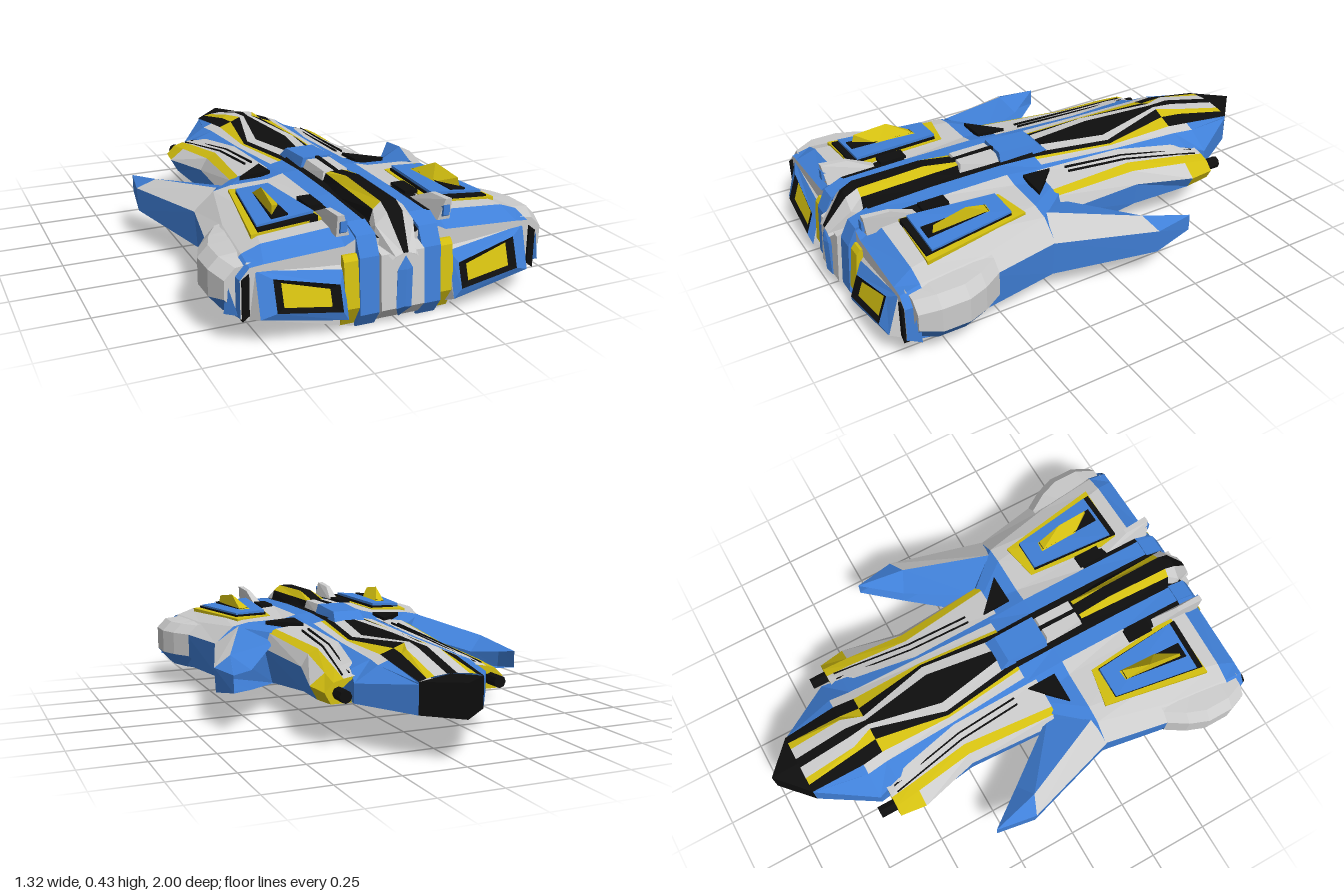
import * as THREE from 'three';
import { ConvexGeometry } from 'three/addons/geometries/ConvexGeometry.js';

// palette letters: g grey, b blue, y yellow, k black
const palette = { g: 0xcccccc, b: 0x4080d8, y: 0xd2be10, k: 0x0e0e0e };
const mats = {};
for (const k in palette) {
  mats[k] = new THREE.MeshStandardMaterial({ color: palette[k], flatShading: true, side: THREE.DoubleSide });
}

function addMesh(parent, name, geometry, color) {
  const mesh = new THREE.Mesh(geometry, mats[color]);
  mesh.name = name;
  parent.add(mesh);
  return mesh;
}

// Skin between cross-sections [z, [x, y, z?]...]; rows give one colour letter per strip
function loft(parent, name, stations, rows, cap = {}) {
  const secs = stations.map(([z, ...pts]) => pts.map(p => [p[0], p[1], p[2] ?? z]));
  const colors = [...rows];
  const collapse = s => {
    const c = [0, 1, 2].map(k => s.reduce((sum, p) => sum + p[k], 0) / s.length);
    return s.map(() => c);
  };
  const n = secs[0].length - 1;
  if (cap.start) { secs.unshift(collapse(secs[0])); colors.unshift(cap.start.repeat(n)); }
  if (cap.end) { secs.push(collapse(secs.at(-1))); colors.push(cap.end.repeat(n)); }
  const tris = {};
  for (let i = 0; i < secs.length - 1; i++) {
    for (let j = 0; j < n; j++) {
      const a = secs[i][j], b = secs[i][j + 1], c = secs[i + 1][j + 1], d = secs[i + 1][j];
      (tris[colors[i][j]] ??= []).push(...a, ...d, ...b, ...d, ...c, ...b);
    }
  }
  const group = new THREE.Group();
  group.name = name;
  for (const k in tris) {
    const geo = new THREE.BufferGeometry();
    geo.setAttribute('position', new THREE.Float32BufferAttribute(tris[k], 3));
    geo.computeVertexNormals();
    addMesh(group, name + 'Strips', geo, k);
  }
  parent.add(group);
}

const convex = (parent, name, color, pts) =>
  addMesh(parent, name, new ConvexGeometry(pts.map(p => new THREE.Vector3(...p))), color);

// Convex plate from top corners [x, y, z], with thickness below
const plate = (parent, name, color, top, depth = 0.03) =>
  convex(parent, name, color, top.flatMap(([x, y, z]) => [[x, y, z], [x, y - depth, z]]));

// Block with the same [y, z] profile at both x limits
const sideProfile = (parent, name, color, x0, x1, profile) =>
  convex(parent, name, color, profile.flatMap(([y, z]) => [[x0, y, z], [x1, y, z]]));

function buildHalf() {
  const h = new THREE.Group();

  // forward fuselage, centre line outwards and round to the keel
  loft(h, 'foreHull', [
    [-0.88, [0, .31], [.02, .31], [.07, .305], [.1, .3], [.13, .29], [.13, .285], [.13, .28], [.13, .17], [.1, .17], [.05, .17], [0, .17]],
    [-0.65, [0, .365], [.02, .365], [.065, .36], [.085, .345], [.14, .325], [.18, .31], [.275, .25], [.275, .175], [.16, .17], [.09, .17], [0, .17]],
    [-0.56, [0, .37], [.01, .37], [.03, .368], [.075, .35], [.13, .33], [.17, .315], [.25, .285], [.26, .17], [.17, .17], [.1, .17], [0, .17]],
    [-0.25, [0, .35], [.07, .35], [.11, .345], [.125, .335], [.135, .332], [.16, .327], [.2, .315], [.27, .14], [.17, .135], [.1, .135], [0, .135]],
    [0.12, [0, .37], [.01, .37], [.06, .365], [.085, .36], [.1, .355], [.14, .35], [.18, .34], [.3, .1], [.17, .1], [.09, .1], [0, .1]],
  ], ['kgykbbbgbg', 'kgykgbbgbg', 'kgkygbbgbg', 'kgkygbbgbg']);

  // rear hull with broad shoulders
  loft(h, 'rearHull', [
    [0.1, [0, .37], [.07, .37], [.09, .36], [.16, .345], [.2, .335], [.25, .325], [.3, .315], [.32, .27], [.32, .1], [.17, .1], [.09, .1], [0, .1]],
    [0.27, [0, .37], [.075, .37], [.09, .37], [.16, .365], [.22, .35], [.38, .345], [.45, .33], [.53, .26], [.52, .11], [.17, .095], [.09, .095], [0, .095]],
    [0.57, [0, .37], [.075, .37], [.09, .37], [.16, .365], [.22, .36], [.42, .35], [.52, .31], [.585, .26], [.57, .11], [.17, .085], [.09, .085], [0, .09]],
    [0.84, [0, .36], [.075, .36], [.09, .36], [.16, .36], [.2, .355], [.48, .335], [.55, .31], [.6, .26], [.6, .105], [.17, .012], [.09, .012], [0, .03]],
    [0.92, [0, .32], [.075, .32], [.09, .33], [.16, .33], [.2, .31], [.5, .295], [.55, .29], [.585, .25], [.585, .11], [.17, .002], [.09, .002], [0, .03]],
  ], ['kkbbbbbbbbb', 'kkbggggbgbg', 'kkbkgggbgbg', 'kkbbbbbbgbg'], { end: 'g' });

  // gun pod along the flank
  loft(h, 'sidePod', [
    [-0.61, [.25, .27], [.3, .262], [.34, .25], [.375, .215], [.35, .17], [.25, .17]],
    [-0.5, [.22, .3], [.29, .28], [.33, .265], [.39, .22], [.36, .165], [.22, .165]],
    [-0.25, [.17, .328], [.26, .31], [.3, .29], [.33, .24], [.32, .14], [.2, .135]],
    [0.14, [.17, .348], [.3, .33], [.33, .315], [.355, .25], [.33, .1], [.17, .1]],
  ], ['gyyyg', 'gygbg', 'gygbg'], { start: 'y' });
  for (const dx of [0, 0.028]) {
    for (const [a, b] of [[[.262, .277, -.58], [.207, .324, -.25]], [[.207, .324, -.25], [.192, .345, .02]]]) {
      plate(h, 'podGroove', 'k', [a, b].flatMap(([x, y, z]) => [[x + dx, y - dx * .15, z], [x + dx + .006, y - dx * .15, z]]), .015);
    }
  }
  const muzzle = addMesh(h, 'podMuzzle', new THREE.CylinderGeometry(.025, .025, .1, 8), 'k');
  muzzle.rotation.x = Math.PI / 2;
  muzzle.position.set(.32, .21, -.63);

  // forward-swept side wing
  loft(h, 'sweptWing', [
    [-0.3, [.62, .24], [.62, .24], [.622, .24], [.622, .17], [.62, .17]],
    [-0.12, [.5, .22, -.14], [.575, .28, -.1], [.65, .24, -.13], [.645, .14, -.13], [.5, .14, -.14]],
    [0.2, [.31, .28, .12], [.43, .335, .25], [.53, .26, .28], [.52, .11, .28], [.31, .1, .12]],
  ], ['bbbb', 'bgbb'], { end: 'b' });
  plate(h, 'shoulderIntake', 'k', [[.19, .355, .09], [.19, .363, .215], [.32, .355, .215]]);

  // rounded bulge on the outer flank
  loft(h, 'outerBulge', [[.54, .58], [.62, .63], [.7, .66], [.81, .66], [.89, .63]].map(([z, x], i) => {
    const s = i === 4 ? .015 : 0;
    return [z, [.5, .31 - s], [x - .04, .3 - s], [x, .26 - s], [x, .16 + s], [x - .05, .1 + s], [.5, .1 + s]];
  }), Array(4).fill('gggbb'), { end: 'g' });
  convex(h, 'bulgeTip', 'b', [[.6, .13, .93], [.62, .24, .88], [.63, .12, .88], [.58, .11, .88]]);
  plate(h, 'bulgeSeam', 'k', [[.555, .27, .93], [.58, .25, .93], [.58, .25, .88], [.555, .27, .88]], .15);

  // stacked deck panels with a raised blade
  plate(h, 'deckTrim', 'y', [[.25, .355, .36], [.41, .352, .33], [.49, .345, .78], [.21, .365, .77]]);
  plate(h, 'deckSurround', 'k', [[.262, .366, .385], [.4, .362, .385], [.462, .355, .772], [.235, .376, .772]]);
  plate(h, 'deckPanel', 'b', [[.268, .377, .385], [.4, .37, .385], [.456, .364, .745], [.24, .386, .745]]);
  plate(h, 'deckSlot', 'k', [[.32, .381, .46], [.36, .377, .46], [.395, .377, .73], [.33, .382, .73]], .02);
  convex(h, 'deckBlade', 'y', [[.315, .375, .45], [.36, .37, .45], [.32, .375, .62], [.385, .37, .71], [.38, .41, .7], [.365, .43, .56]]);

  // dorsal fin and vent
  convex(h, 'dorsalFin', 'g', [[.17, .34, .65], [.215, .34, .65], [.175, .34, .9], [.225, .34, .9],
    [.2, .42, .91], [.225, .42, .91], [.2, .41, .8], [.22, .41, .8]]);
  plate(h, 'finInset', 'b', [[.19, .4, .915], [.215, .4, .915], [.19, .385, .89], [.215, .385, .89]], .04);
  plate(h, 'dorsalVent', 'k', [[.17, .375, .56], [.225, .375, .56], [.17, .375, .67], [.225, .375, .67]]);

  // engine: nested frames around a glowing nozzle
  const ring = (x0, x1, t0, t1, b0, b1, z, tilt) => [z,
    ...[[x0, t0], [x1, t1], [x1, b1], [x0, b0], [x0, t0]].map(([x, y]) => [x, y, z - (y - .15) * tilt])];
  loft(h, 'engine', [
    ring(.2, .555, .27, .3, .03, .1, .91, .1),
    ring(.21, .53, .23, .275, .06, .115, .955, .3),
    ring(.235, .475, .19, .245, .1, .135, .975, .35),
    ring(.27, .445, .178, .225, .12, .145, .965, .35),
  ], ['gggg', 'bbbb', 'kkkk'], { end: 'y' });

  // stern blocks between engine and centre line
  sideProfile(h, 'sternTrim', 'y', .15, .215, [[.28, .93], [.26, .945], [.09, .965], [.012, .92], [.04, .86], [.28, .86]]);
  sideProfile(h, 'sternRail', 'b', .085, .16, [[.365, .84], [.34, .92], [.27, .955], [.06, .97], [.002, .93], [.005, .86]]);
  sideProfile(h, 'sternColumn', 'g', 0, .085, [[.3, .9], [.275, .97], [.07, .985], [.02, .94], [.03, .86]]);

  // tapering tail spine
  loft(h, 'tailSpine', [
    [0.43, [0, .405], [.025, .405], [.045, .4], [.06, .36]],
    [0.57, [0, .43], [.025, .43], [.05, .4], [.08, .36]],
    [0.85, [0, .425], [.03, .425], [.06, .4], [.08, .33]],
    [0.9, [0, .41], [.03, .4], [.075, .36], [.08, .3]],
    [0.99, [0, .28], [.01, .28], [.04, .27], [.05, .26]],
  ], ['kyk', 'kyk', 'kgg', 'kgg'], { start: 'k', end: 'g' });
  return h;
}

export function createModel() {
  const model = new THREE.Group();
  model.name = 'starfighter';
  const left = buildHalf();
  left.name = 'leftHalf';
  const right = left.clone();
  right.name = 'rightHalf';
  right.scale.x = -1;
  model.add(left, right);

  // parts on the centre line
  convex(model, 'noseTip', 'k', [[0, .3, -1], [0, .17, -1], [0, .31, -.88],
    [.13, .29, -.88], [-.13, .29, -.88], [.13, .17, -.88], [-.13, .17, -.88]]);
  convex(model, 'spineBlock', 'b', [-1, 1].flatMap(s => [[s * .07, .36, .03], [s * .06, .4, .07], [s * .06, .41, .25], [s * .075, .36, .25]]));
  convex(model, 'spineHatch', 'g', [-1, 1].flatMap(s => [[s * .065, .36, .25], [s * .05, .405, .26], [s * .05, .405, .42], [s * .06, .36, .43]]));
  plate(model, 'hatchSeam', 'k', [[-.008, .412, .25], [.008, .412, .25], [-.008, .408, .43], [.008, .408, .43]]);
  convex(model, 'sternDiamond', 'b', [[0, .27, .99], [.03, .22, .99], [-.03, .22, .99], [.03, .07, .99], [-.03, .07, .99],
    [0, .02, .95], [0, .22, 1], [0, .08, 1], [0, .15, .93]]);
  return model;
}
